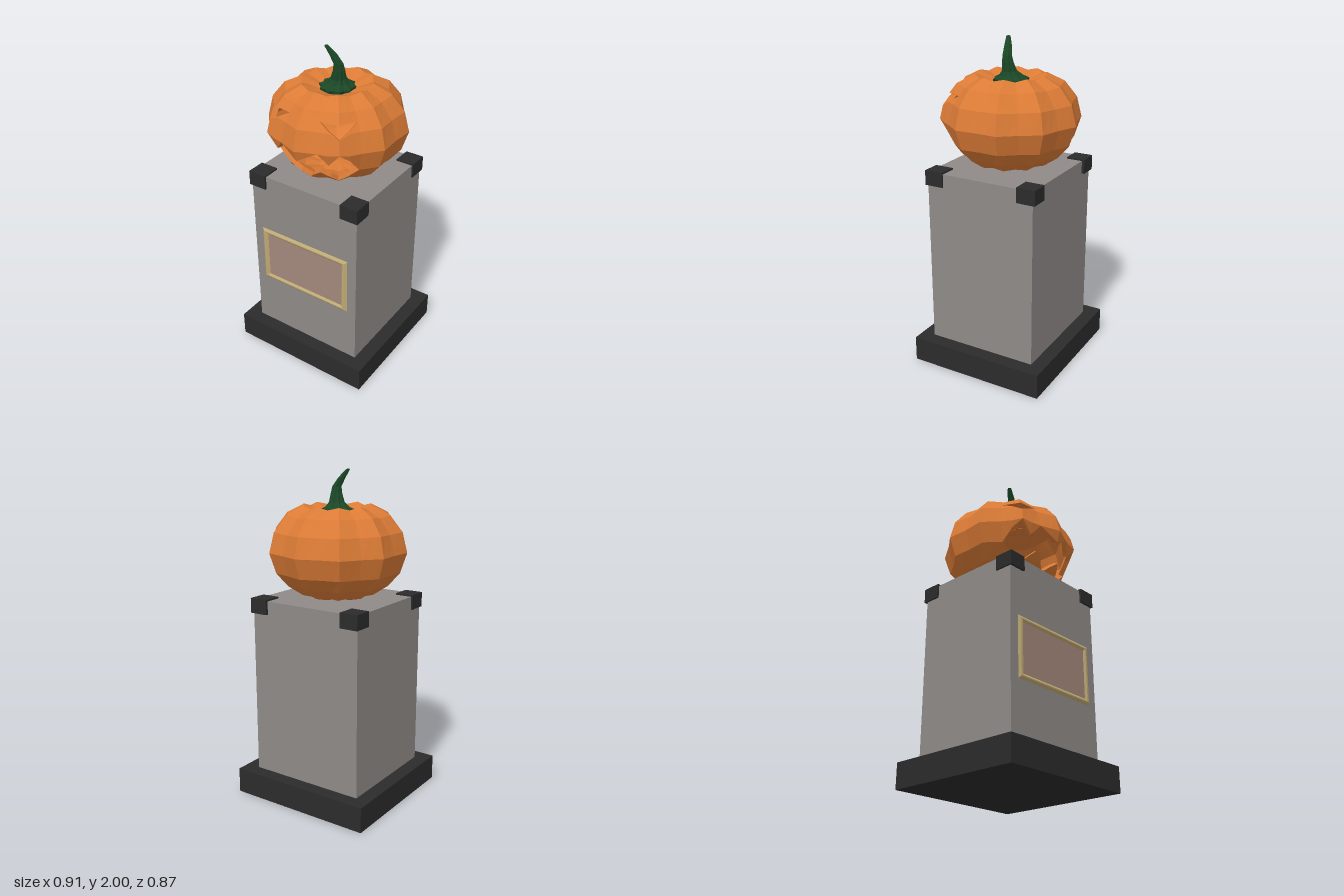
import * as THREE from 'three';

const mat = (color, opts = {}) => new THREE.MeshStandardMaterial({ color, flatShading: true, ...opts });

// Collects quads as loose triangles, dropping collapsed ones
function facetBuilder() {
  const pos = [];
  const tri = (a, b, c) => {
    const area = b.clone().sub(a).cross(c.clone().sub(a)).length();
    if (area > 1e-8) for (const p of [a, b, c]) pos.push(p.x, p.y, p.z);
  };
  return {
    quad(a, b, c, d) { tri(a, b, c); tri(a, c, d); },
    build() {
      const g = new THREE.BufferGeometry();
      g.setAttribute('position', new THREE.Float32BufferAttribute(pos, 3));
      g.computeVertexNormals();
      return g;
    },
  };
}

// Pumpkin profiles (radius, height) along a ridge and along a groove
const RIDGE = [[0, 1.26], [0.12, 1.245], [0.22, 1.27], [0.31, 1.33], [0.38, 1.41], [0.42, 1.53],
  [0.39, 1.65], [0.315, 1.745], [0.21, 1.797], [0.1, 1.752], [0, 1.745]];
const GROOVE = [[0, 1.26], [0.11, 1.25], [0.2, 1.275], [0.285, 1.335], [0.355, 1.41], [0.392, 1.53],
  [0.36, 1.645], [0.29, 1.735], [0.2, 1.782], [0.1, 1.744], [0, 1.74]];
const LAST = RIDGE.length - 1;

function onProfile(profile, t, deg) {
  const i = Math.min(Math.floor(t), LAST - 1), f = t - i;
  const r = THREE.MathUtils.lerp(profile[i][0], profile[i + 1][0], f);
  const y = THREE.MathUtils.lerp(profile[i][1], profile[i + 1][1], f);
  const a = THREE.MathUtils.degToRad(deg);
  return new THREE.Vector3(r * Math.sin(a), y, r * Math.cos(a));
}

// Share of groove at an angle: 0 on a ridge, 1 in a groove
const grooveShare = (deg) => 1 - Math.abs((((deg / 18) % 2) + 2) % 2 - 1);

function skin(t, deg) {
  const ridge = onProfile(RIDGE, t, Math.round(deg / 36) * 36);
  const groove = onProfile(GROOVE, t, Math.floor(deg / 36) * 36 + 18);
  return ridge.lerp(groove, grooveShare(deg));
}

// Profile parameter at a given height on the outward part of the skin
function paramAt(y, deg) {
  const w = grooveShare(deg);
  const h = (i) => THREE.MathUtils.lerp(RIDGE[i][1], GROOVE[i][1], w);
  for (let i = 1; i < 8; i++) if (y <= h(i + 1)) return i + (y - h(i)) / (h(i + 1) - h(i));
  return 8;
}

// Carved openings: lower and upper heights every 9 degrees from the front
const MOUTH = [[1.30, 1.46], [1.343, 1.495], [1.385, 1.53], [1.343, 1.46], [1.30, 1.54], [1.345, 1.49], [1.41, 1.41]];
const EYE = [[1.69, 1.69], [1.69, 1.69], [1.69, 1.69], [1.655, 1.69], [1.62, 1.69], [1.655, 1.69], [1.69, 1.69]];

function bandEdges(deg) {
  const k = Math.min(Math.round(Math.abs(deg) / 9), 6);
  return [0, ...[...MOUTH[k], ...EYE[k]].map((y) => paramAt(y, deg)), LAST];
}

function pumpkinGeometry() {
  const b = facetBuilder();
  const centre = new THREE.Vector3(0, 1.52, 0);
  const inner = (p) => p.clone().sub(centre).multiplyScalar(0.92).add(centre);
  for (let d = -180; d < 180; d += 9) {
    const e = d + 9, cutA = bandEdges(d), cutB = bandEdges(e);
    for (let band = 0; band < 6; band += 2) {
      const a = (k) => skin(THREE.MathUtils.clamp(k, cutA[band], cutA[band + 1]), d);
      const c = (k) => skin(THREE.MathUtils.clamp(k, cutB[band], cutB[band + 1]), e);
      // outer skin and inner skin
      for (let k = 0; k < LAST; k++) {
        const q = [a(k), c(k), c(k + 1), a(k + 1)];
        b.quad(...q);
        b.quad(...q.map(inner).reverse());
      }
      // cut thickness around the openings
      if (Math.abs(d + 4.5) < 54) {
        if (band > 0) b.quad(inner(a(0)), inner(c(0)), c(0), a(0));
        if (band < 4) b.quad(a(LAST), c(LAST), inner(c(LAST)), inner(a(LAST)));
      }
    }
  }
  return b.build();
}

// Ribbed stem lofted through rings of [x, y, z, radius]
function stemGeometry() {
  const rings = [[0, 1.735, 0, 0.1], [0, 1.765, 0, 0.108], [0.003, 1.785, 0, 0.07], [0.011, 1.81, 0.005, 0.046],
    [0.018, 1.86, 0.012, 0.034], [0.018, 1.9, 0.016, 0.027], [-0.01, 1.95, 0.026, 0.022],
    [-0.043, 2.0, 0.043, 0.012], [-0.043, 2.0, 0.043, 0]];
  const sides = 20, b = facetBuilder();
  const point = (i, j) => {
    const [x, y, z, r] = rings[i];
    const a = (j / sides) * Math.PI * 2 + i * 0.08;
    const rr = r * (j % 2 ? 0.85 : 1);
    return new THREE.Vector3(x + rr * Math.sin(a), y, z + rr * Math.cos(a));
  };
  for (let i = 0; i < rings.length - 1; i++)
    for (let j = 0; j < sides; j++)
      b.quad(point(i, j), point(i, j + 1), point(i + 1, j + 1), point(i + 1, j));
  return b.build();
}

function rectangle(PathType, w, h) {
  return new PathType([[-w, -h], [w, -h], [w, h], [-w, h]].map(([x, y]) => new THREE.Vector2(x, y)));
}

export function createModel() {
  const group = new THREE.Group();
  const add = (name, geometry, material, x = 0, y = 0, z = 0) => {
    const mesh = new THREE.Mesh(geometry, material);
    mesh.name = name;
    mesh.position.set(x, y, z);
    group.add(mesh);
  };
  const dark = mat(0x2b2b2b), stone = mat(0x8f8a88);

  // Pedestal
  add('pedestalBase', new THREE.BoxGeometry(0.914, 0.155, 0.866), dark, 0, 0.0775, 0);
  add('pedestalColumn', new THREE.BoxGeometry(0.738, 1.09, 0.696), stone, 0, 0.7, 0.002);
  for (const sx of [-1, 1])
    for (const sz of [-1, 1])
      add('cornerCap', new THREE.BoxGeometry(0.115, 0.09, 0.118), dark, sx * 0.321, 1.21, sz * 0.304);

  // Plaque with bevelled frame
  const frame = rectangle(THREE.Shape, 0.295, 0.172);
  frame.holes.push(rectangle(THREE.Path, 0.283, 0.175 - 0.001 - 0.009));
  frame.holes[0] = rectangle(THREE.Path, 0.282, 0.165);
  add('plaqueFrame', new THREE.ExtrudeGeometry(frame, {
    depth: 0.002, bevelEnabled: true, bevelThickness: 0.01, bevelSize: 0.014, bevelSegments: 1,
  }), mat(0xbfaa74), 0, 0.687, 0.35);
  add('plaque', new THREE.BoxGeometry(0.56, 0.33, 0.01), mat(0xa3887b), 0, 0.687, 0.348);

  // Carved pumpkin
  add('pumpkin', pumpkinGeometry(), mat(0xdb7b36, { side: THREE.DoubleSide }));
  add('stem', stemGeometry(), mat(0x1b4726, { side: THREE.DoubleSide }));
  return group;
}
